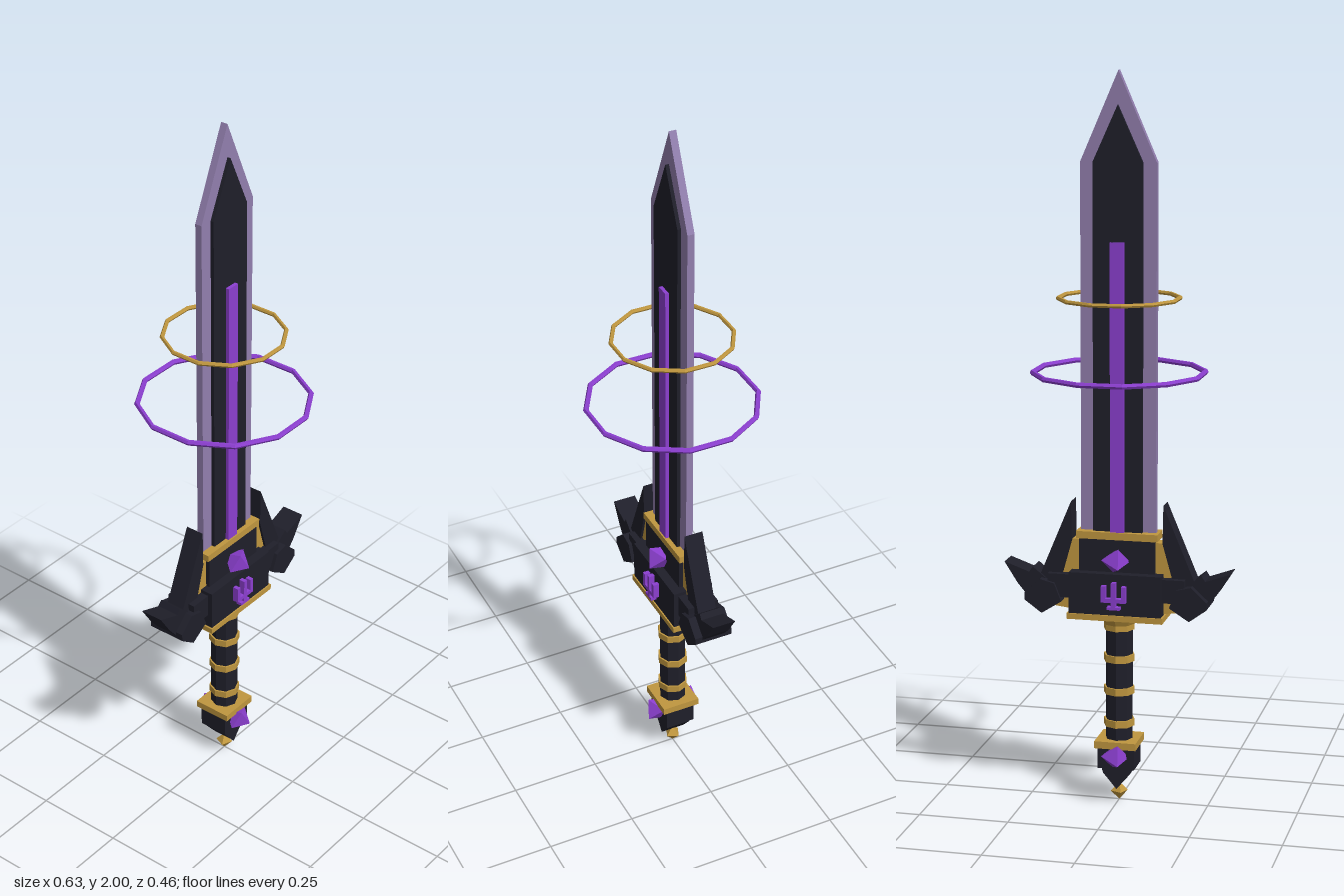
import * as THREE from 'three';

const mat = (name, color) => {
  const m = new THREE.MeshStandardMaterial({ color, flatShading: true });
  m.name = name;
  return m;
};

export function createModel() {
  const root = new THREE.Group();
  root.name = 'sword';
  const black = mat('blackSteel', 0x1f1f2a);
  const gold = mat('gold', 0xc0973f);
  const purple = mat('purple', 0x8c3fd0);
  const edge = mat('lavenderEdge', 0x927fae);

  const add = (name, geo, m, x = 0, y = 0, z = 0, parent = root) => {
    const mesh = new THREE.Mesh(geo, m);
    mesh.name = name;
    mesh.position.set(x, y, z);
    parent.add(mesh);
    return mesh;
  };
  // box given by half width, bottom, top and half depth
  const block = (name, m, hx, y0, y1, hz, x = 0, z = 0, parent = root) =>
    add(name, new THREE.BoxGeometry(hx * 2, y1 - y0, hz * 2), m, x, (y0 + y1) / 2, z, parent);
  // flat outline extruded evenly to both sides of z = 0
  const plate = (name, m, pts, hz, parent = root) => {
    const shape = new THREE.Shape(pts.map(([x, y]) => new THREE.Vector2(x, y)));
    const geo = new THREE.ExtrudeGeometry(shape, { depth: hz * 2, bevelEnabled: false });
    geo.translate(0, 0, -hz);
    return add(name, geo, m, 0, 0, 0, parent);
  };
  const bladeOutline = (w, shoulder, tip) =>
    [[-w, 0.74], [w, 0.74], [w, shoulder], [0, tip], [-w, shoulder]];

  // Blade
  plate('bladeEdge', edge, bladeOutline(0.104, 1.76, 2), 0.01);
  plate('bladeCore', black, bladeOutline(0.068, 1.76, 1.91), 0.02);
  block('fuller', purple, 0.019, 0.74, 1.55, 0.03);

  // Twelve-sided rings floating around the blade
  const halo = (name, m, r, tube, y) => {
    const geo = new THREE.TorusGeometry(r, tube, 6, 12);
    geo.rotateZ(Math.PI / 12);
    geo.rotateX(Math.PI / 2);
    add(name, geo, m, 0, y);
  };
  halo('purpleRing', purple, 0.232, 0.0075, 1.2);
  halo('goldRing', gold, 0.163, 0.006, 1.4);

  // Guard
  block('collar', gold, 0.113, 0.745, 0.765, 0.034);
  block('upperGuard', black, 0.105, 0.64, 0.745, 0.031);
  block('lowerGuard', black, 0.128, 0.54, 0.655, 0.058);
  block('guardPlate', gold, 0.133, 0.525, 0.541, 0.062);

  // Wings on both sides, outlines mirrored in x
  for (const s of [1, -1]) {
    const wing = new THREE.Group();
    wing.name = s > 0 ? 'leftWing' : 'rightWing';
    root.add(wing);
    const side = (name, m, pts, hz) => plate(name, m, pts.map(([x, y]) => [x * s, y]), hz, wing);
    side('fin', black, [[0.128, 0.845], [0.126, 0.74], [0.165, 0.6], [0.22, 0.625]], 0.027);
    side('web', gold, [[0.1, 0.54], [0.18, 0.55], [0.18, 0.6], [0.13, 0.74], [0.1, 0.74]], 0.02);
    side('arm', black, [[0.12, 0.58], [0.19, 0.58], [0.19, 0.645], [0.12, 0.645]], 0.045);
    side('claw', black,
      [[0.15, 0.57], [0.205, 0.535], [0.253, 0.57], [0.253, 0.59], [0.21, 0.63], [0.17, 0.62]], 0.055);
    side('horn', black,
      [[0.2, 0.57], [0.24, 0.565], [0.278, 0.61], [0.315, 0.668], [0.245, 0.643], [0.235, 0.658], [0.2, 0.63]], 0.033);
  }

  // Gems and fork inlays on the front and back
  const gemGeo = new THREE.OctahedronGeometry(0.04);
  for (const s of [1, -1]) {
    for (const [name, y, z] of [['guardGem', 0.69, 0.044], ['pommelGem', 0.138, 0.05]]) {
      const gem = add(name, gemGeo, purple, 0, y, z * s);
      gem.rotation.set(0.5 * s, 0.35, 0.3);
    }
    const fork = new THREE.Group();
    fork.name = 'forkInlay';
    fork.position.z = 0.066 * s;
    root.add(fork);
    for (const x of [-0.028, 0, 0.028])
      block('prong', purple, 0.006, 0.585, x ? 0.625 : 0.635, 0.009, x, 0, fork);
    block('crossbar', purple, 0.034, 0.58, 0.591, 0.009, 0, 0, fork);
    block('stem', purple, 0.006, 0.562, 0.585, 0.009, 0, 0, fork);
    block('foot', purple, 0.018, 0.56, 0.568, 0.009, 0, 0, fork);
  }

  // Grip with gold bands
  add('grip', new THREE.CylinderGeometry(0.038, 0.038, 0.36, 8), black, 0, 0.35);
  add('gripSocket', new THREE.CylinderGeometry(0.055, 0.03, 0.045, 8), gold, 0, 0.505);
  for (const y of [0.5, 0.41, 0.318, 0.226])
    add('gripBand', new THREE.CylinderGeometry(0.043, 0.043, 0.02, 8), gold, 0, y);

  // Pommel
  block('pommelPlate', gold, 0.058, 0.16, 0.18, 0.055);
  block('pommelBlock', black, 0.051, 0.1, 0.16, 0.043);
  plate('pommelWedge', black, [[-0.042, 0.1], [-0.038, 0.085], [0, 0.04], [0.038, 0.085], [0.042, 0.1]], 0.035);
  const drop = add('pommelDrop', new THREE.OctahedronGeometry(0.024), gold, 0, 0.025);
  drop.rotation.y = 0.4;
  drop.scale.y = 1.04;

  return root;
}
